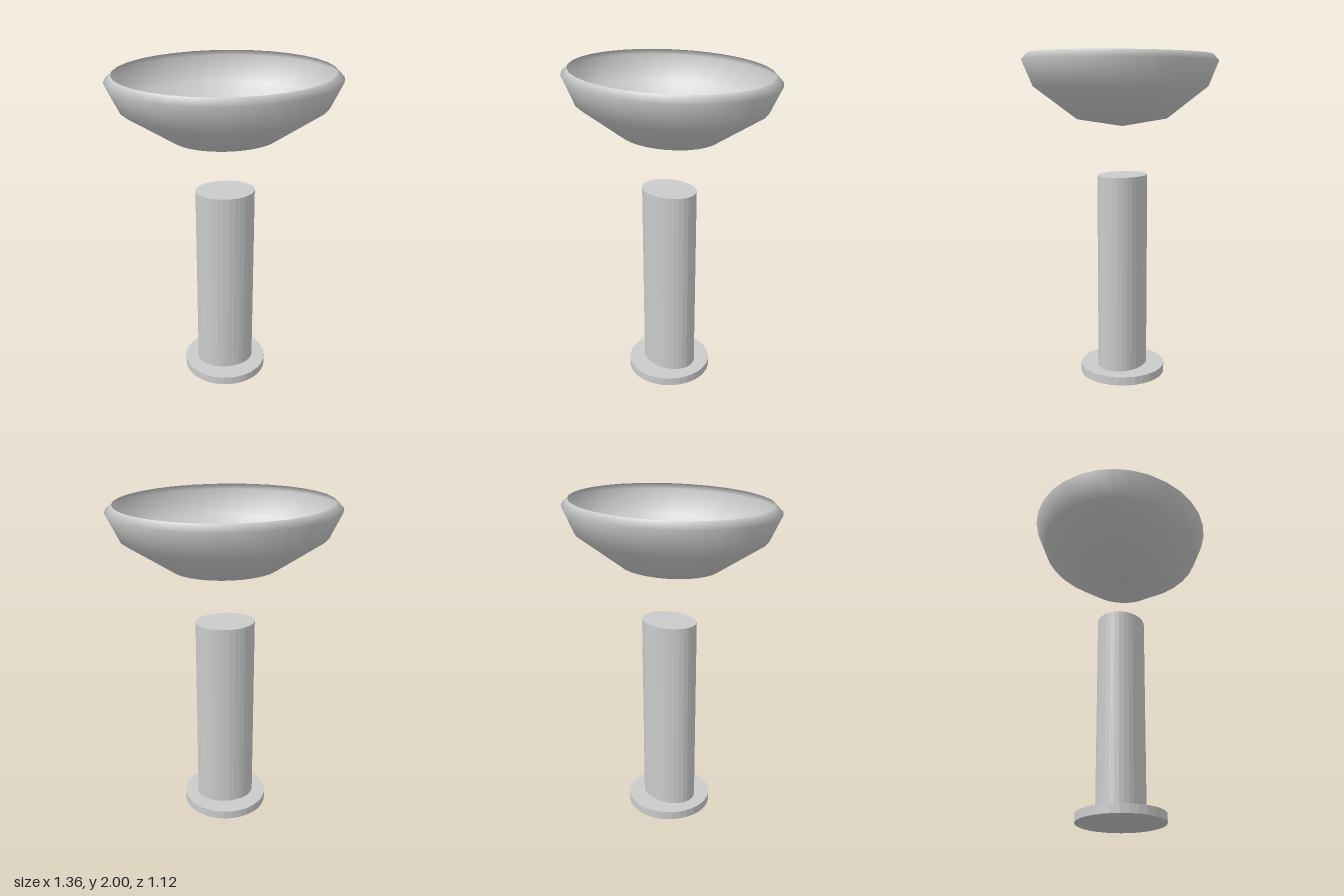
import * as THREE from 'three';

const SEGMENTS = 32;

export function createModel() {
  const model = new THREE.Group();
  const faceted = new THREE.MeshStandardMaterial({ color: 0xcccccc, flatShading: true });
  const smooth = new THREE.MeshStandardMaterial({ color: 0xcccccc, side: THREE.DoubleSide });

  // Upright cylinder between two heights, with an elliptical plan
  function addColumn(name, radiusX, radiusZ, bottom, top) {
    const geometry = new THREE.CylinderGeometry(1, 1, top - bottom, SEGMENTS);
    geometry.scale(radiusX, 1, radiusZ);
    const mesh = new THREE.Mesh(geometry, faceted);
    mesh.name = name;
    mesh.position.y = (bottom + top) / 2;
    model.add(mesh);
  }

  addColumn('base', 0.265, 0.265, 0, 0.053);
  addColumn('pedestal', 0.182, 0.145, 0.053, 1.272);

  // Thin oval basin with an inward-turned rim, floating above the pedestal
  const profile = [
    [0, 1.569], [0.32, 1.616], [0.61, 1.808], [0.682, 1.96], [0.64, 2],
  ].map(([radius, y]) => new THREE.Vector2(radius, y));
  const basinGeometry = new THREE.LatheGeometry(profile, SEGMENTS);
  basinGeometry.scale(1, 1, 0.82);
  const basin = new THREE.Mesh(basinGeometry, smooth);
  basin.name = 'basin';
  model.add(basin);

  return model;
}
